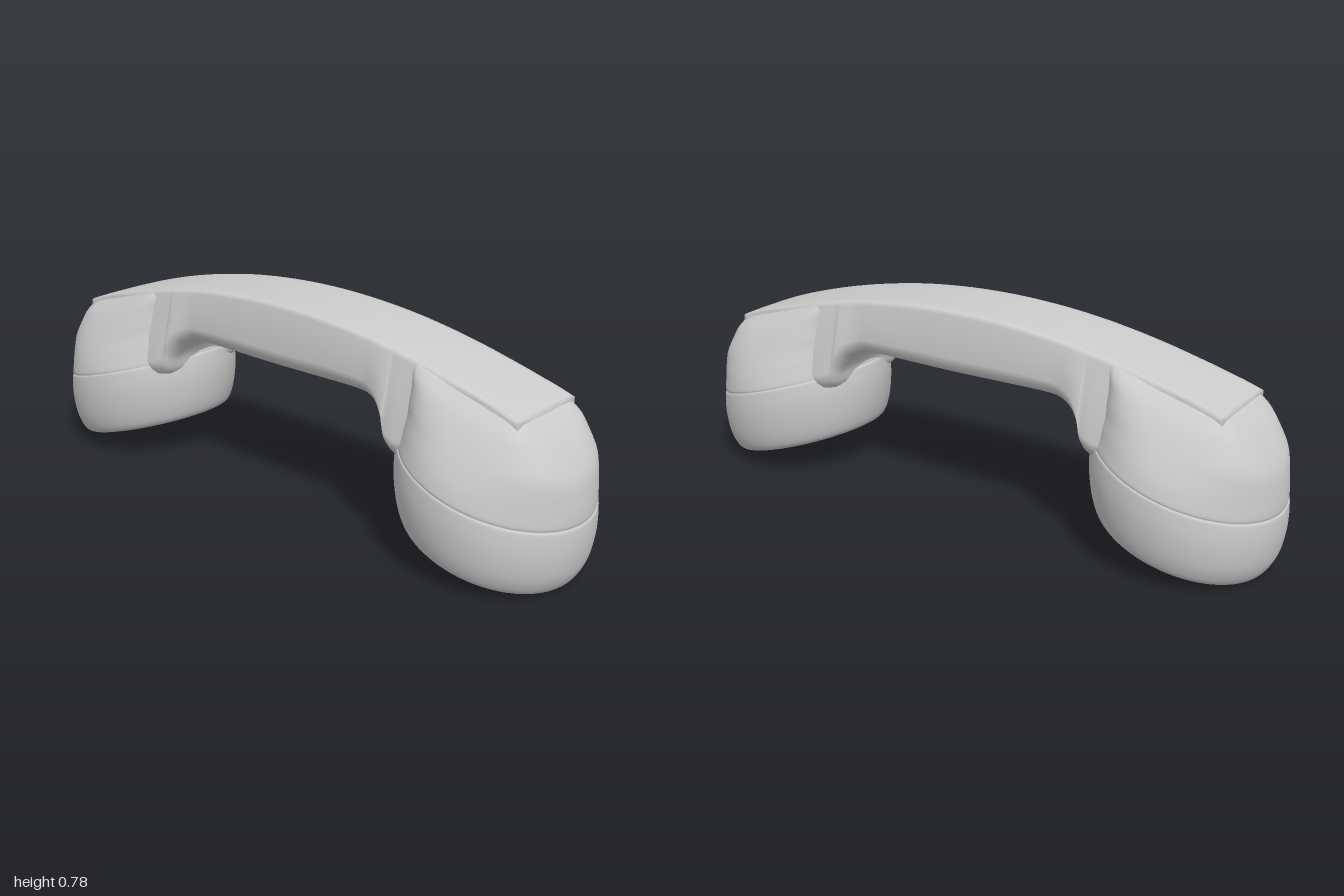
import * as THREE from 'three';
import { mergeGeometries } from 'three/addons/utils/BufferGeometryUtils.js';

const material = new THREE.MeshStandardMaterial({ color: 0xcccccc });
const TILT = 0.29; // slope of the cup mouths
const smooth = THREE.MathUtils.smoothstep;

// Skin over closed cross-sections, each an array of [x, y, z]
function loft(rings) {
  const n = rings[0].length, index = [];
  for (let i = 0; i < rings.length - 1; i++) {
    for (let j = 0; j < n; j++) {
      const k = (j + 1) % n;
      const a = i * n + j, b = a + n, c = i * n + k, d = c + n;
      index.push(a, b, c, b, d, c);
    }
  }
  const geometry = new THREE.BufferGeometry();
  geometry.setAttribute('position', new THREE.Float32BufferAttribute(rings.flat(2), 3));
  geometry.setIndex(index);
  geometry.computeVertexNormals();
  return geometry;
}

// Catmull-Rom interpolation through rows of numbers
function refine(rows, steps) {
  const out = [];
  for (let i = 0; i < rows.length - 1; i++) {
    const p0 = rows[Math.max(i - 1, 0)], p1 = rows[i], p2 = rows[i + 1];
    const p3 = rows[Math.min(i + 2, rows.length - 1)];
    for (let s = 0; s < steps; s++) {
      const t = s / steps;
      out.push(p1.map((v, k) => v + 0.5 * t * (p2[k] - p0[k]
        + t * (2 * p0[k] - 5 * v + 4 * p2[k] - p3[k] + t * (3 * (v - p2[k]) + p3[k] - p0[k])))));
    }
  }
  out.push(rows[rows.length - 1]);
  return out;
}

// Cup ring: centre x, height, half length, half width, squareness
function cupRing([cx, h, a, b, n]) {
  const ring = [];
  for (let j = 0; j < 72; j++) {
    const angle = (j / 72) * Math.PI * 2;
    const c = Math.cos(angle), s = Math.sin(angle);
    const r = 1 / Math.pow(Math.abs(c) ** n + Math.abs(s) ** n, 1 / n);
    const dx = Math.max(a, 0) * r * c;
    ring.push([cx + dx, h - TILT * dx, Math.max(b, 0) * r * s]);
  }
  return ring;
}

// Cup: recessed mouth, round lip, bulging wall with a seam, squared shoulder
function cupGeometry(mouth) {
  const rows = [
    ...mouth.map(([r, h]) => [0.85, h, r, r, 2]),
    [0.85, 0.087, 0.27, 0.27, 2],
    [0.851, 0.091, 0.293, 0.295, 2],
    [0.855, 0.115, 0.314, 0.316, 2],
    [0.861, 0.175, 0.335, 0.335, 2],
    [0.865, 0.26, 0.345, 0.345, 2],
    [0.868, 0.335, 0.341, 0.342, 2],
    [0.868, 0.348, 0.335, 0.337, 2],
    [0.871, 0.362, 0.335, 0.337, 2],
    [0.877, 0.42, 0.324, 0.318, 2.1],
    [0.881, 0.5, 0.3, 0.277, 2.6],
    [0.86, 0.59, 0.255, 0.222, 4.2],
    [0.83, 0.652, 0.218, 0.168, 9],
  ];
  const rings = refine(rows, 5).map(cupRing);
  rings.push(cupRing([0.83, 0.658, 0, 0, 2]));
  return loft(rings);
}

// Handle: arched top, flat underside that sweeps down into the cups
function handleGeometry() {
  const half = [[0.2, 0.545], [0.38, 0.547], [0.45, 0.538], [0.5, 0.51], [0.535, 0.46],
    [0.56, 0.39], [0.66, 0.37], [0.8, 0.45], [0.95, 0.56], [1.043, 0.55]];
  const rows = [...half.map(([x, y]) => [-x, y]).reverse(), [0, 0.543], ...half];
  const rings = refine(rows, 6).map(([x, y]) => {
    const u = Math.abs(x), top = 0.785 - 0.168 * x * x;
    const bottom = Math.min(y, top - 0.05);
    const k = Math.min(1, (top - bottom) / 0.235);
    const tw = 0.17;
    const bw = 0.19 + 0.045 * smooth(u, 0.42, 0.6) - 0.067 * smooth(u, 0.65, 0.9);
    const side = [
      [0.07, top + 0.002], [tw - 0.03, top], [tw - 0.01, top - 0.004 * k], [tw, top - 0.018 * k],
      [(tw + bw) / 2, (top + bottom) / 2 + 0.025 * k], [bw, bottom + 0.07 * k],
      [bw - 0.006, bottom + 0.04 * k], [bw - 0.025, bottom + 0.014 * k], [bw - 0.06, bottom],
    ];
    return [
      ...side.map(([z, h]) => [x, h, z]).reverse(),
      ...side.map(([z, h]) => [x, h, -z]),
    ];
  });
  // Close both ends
  const closed = (ring) => ring.map(([x]) => [x, 0.58, 0]);
  return loft([closed(rings[0]), ...rings, closed(rings[rings.length - 1])]);
}

// Concentric rows of small studs on the perforated plate
function grilleGeometry(plateHeight) {
  const studs = [];
  for (let row = 0; row < 6; row++) {
    const count = row === 0 ? 1 : row * 6;
    for (let i = 0; i < count; i++) {
      const angle = (i / count) * Math.PI * 2;
      const dx = Math.cos(angle) * row * 0.028;
      const stud = new THREE.CylinderGeometry(0.007, 0.005, 0.008, 8);
      stud.rotateZ(-Math.atan(TILT));
      stud.translate(0.85 + dx, plateHeight - TILT * dx, Math.sin(angle) * row * 0.028);
      studs.push(stud);
    }
  }
  return mergeGeometries(studs);
}

export function createModel() {
  const model = new THREE.Group();
  model.name = 'handset';
  const add = (name, geometry, turn = 0) => {
    const mesh = new THREE.Mesh(geometry, material);
    mesh.name = name;
    mesh.rotation.y = turn;
    model.add(mesh);
  };

  add('handle', handleGeometry());
  // Earpiece with a smooth concave bowl
  add('earpieceCup', cupGeometry([[0, 0.16], [0.08, 0.156], [0.16, 0.14], [0.215, 0.113], [0.245, 0.094]]));
  // Mouthpiece with a stepped rim and perforated plate
  add('mouthpieceCup', cupGeometry([[0, 0.122], [0.1, 0.124], [0.2, 0.128], [0.225, 0.124], [0.236, 0.102], [0.25, 0.09]]), Math.PI);
  add('mouthpieceGrille', grilleGeometry(0.123), Math.PI);

  // Lies diagonally
  model.rotation.y = -0.72;
  const group = new THREE.Group();
  group.name = 'telephoneHandset';
  group.add(model);
  return group;
}
